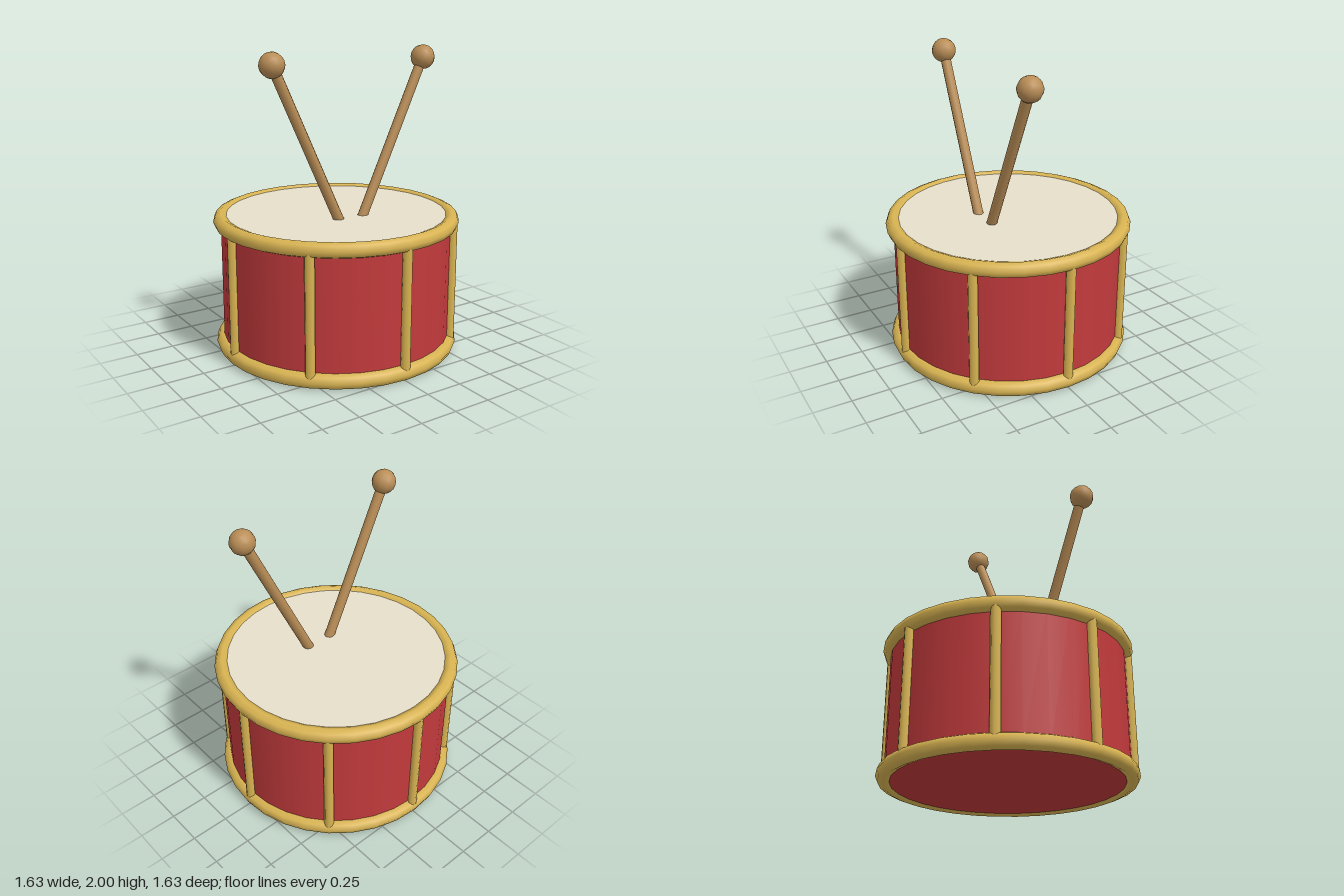
import * as THREE from 'three';

const paint = (color) => new THREE.MeshStandardMaterial({ color });

export function createModel() {
  const model = new THREE.Group();
  model.name = 'drum';
  const red = paint(0xc23a3c), gold = paint(0xd9b452), cream = paint(0xe6dfcb), wood = paint(0xb98d56);

  const add = (parent, name, geometry, material, x = 0, y = 0, z = 0) => {
    const mesh = new THREE.Mesh(geometry, material);
    mesh.name = name;
    mesh.position.set(x, y, z);
    parent.add(mesh);
    return mesh;
  };

  // Shell, closed at the bottom, with the skin on top
  add(model, 'shell', new THREE.CylinderGeometry(0.765, 0.765, 0.875, 32), red, 0, 0.4525, 0);
  add(model, 'drumHead', new THREE.CylinderGeometry(0.745, 0.745, 0.03, 32), cream, 0, 0.9, 0);

  // Rounded hoops at both ends
  const hoop = new THREE.TorusGeometry(0.765, 0.05, 8, 32).rotateX(Math.PI / 2);
  add(model, 'bottomHoop', hoop, gold, 0, 0.05, 0);
  add(model, 'topHoop', hoop, gold, 0, 0.88, 0);

  // Eight upright rods around the shell
  const rod = new THREE.CylinderGeometry(0.032, 0.032, 0.83, 8);
  for (let i = 0; i < 8; i++) {
    const a = (i * Math.PI) / 4;
    const mesh = add(model, 'tensionRod', rod, gold, 0.775 * Math.sin(a), 0.465, 0.775 * Math.cos(a));
    mesh.rotation.y = a;
  }

  // Two mirrored sticks leaning outwards, standing in the skin
  for (const side of [-1, 1]) {
    const stick = new THREE.Group();
    stick.name = side > 0 ? 'leftStick' : 'rightStick';
    stick.position.set(side * 0.567, 1.92, 0.175);
    stick.rotation.z = -side * 0.438;
    const length = 1.13;
    add(stick, 'stickShaft', new THREE.CylinderGeometry(0.034, 0.034, length, 10), wood, 0, -length / 2, 0);
    add(stick, 'stickTip', new THREE.SphereGeometry(0.08, 12, 10), wood);
    model.add(stick);
  }

  return model;
}
